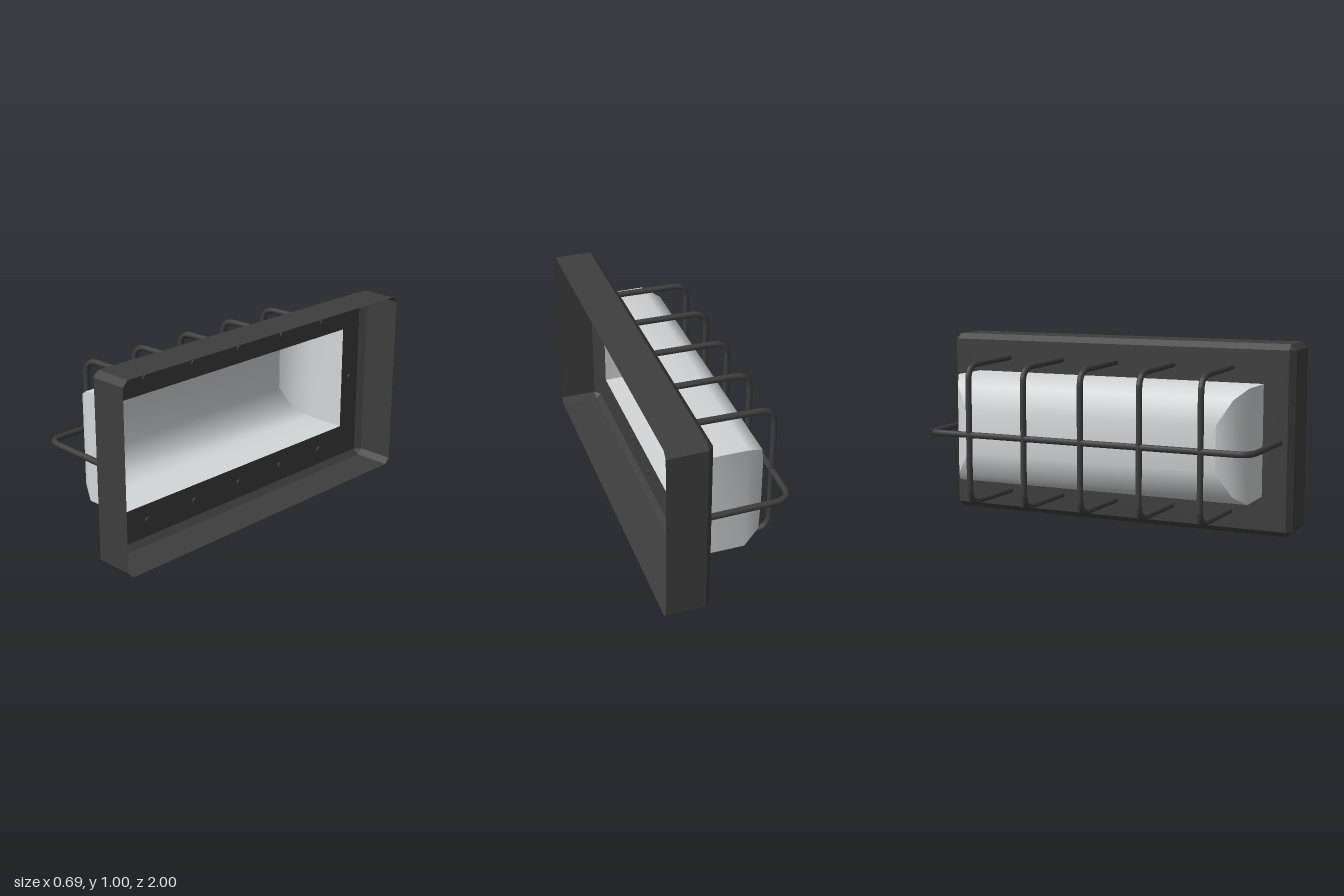
import * as THREE from 'three';

const black = new THREE.MeshStandardMaterial({ color: 0x3e3e3e, side: THREE.DoubleSide });
black.name = 'blackMetal';
const frosted = new THREE.MeshStandardMaterial({ color: 0xd2d7d7, side: THREE.DoubleSide });
frosted.name = 'frostedGlass';

// Skin a list of equally long point rows; smooth normals unless flat
function loft(rows, closed, flat) {
  const n = rows[0].length, index = [];
  for (let r = 0; r < rows.length - 1; r++) {
    for (let i = 0; i < (closed ? n : n - 1); i++) {
      const j = (i + 1) % n, a = r * n, b = a + n;
      index.push(a + i, a + j, b + j, a + i, b + j, b + i);
    }
  }
  let geo = new THREE.BufferGeometry();
  geo.setAttribute('position', new THREE.Float32BufferAttribute(rows.flat(2), 3));
  geo.setIndex(index);
  if (flat) geo = geo.toNonIndexed();
  geo.computeVertexNormals();
  return geo;
}

function add(group, name, geo, mat) {
  const mesh = new THREE.Mesh(geo, mat);
  mesh.name = name;
  group.add(mesh);
  return mesh;
}

// Eight points around a rectangle in the y-z plane, corners cut by c
function ring(x, hy, hz, c, cy = 0.5, cz = 0) {
  return [
    [hy, hz - c], [hy - c, hz], [-hy + c, hz], [-hy, hz - c],
    [-hy, -hz + c], [-hy + c, -hz], [hy - c, -hz], [hy, -hz + c],
  ].map(([y, z]) => [x, cy + y, cz + z]);
}

// Wire hoop standing off the frame: u runs across, x outwards
function hoop(half, toPoint) {
  const p = (x, u) => toPoint(x, u);
  const path = new THREE.CurvePath();
  const out = -0.332, bend = 0.09;
  const line = (a, b) => path.add(new THREE.LineCurve3(a, b));
  const corner = (s) => [p(out + bend, s * (half - 0.006)), p(out, s * (half - 0.006)), p(out, s * (half - 0.09))];
  const [a1, a2, a3] = corner(1), [b1, b2, b3] = corner(-1);
  // Sampled points keep the straight runs straight and the bends round
  const points = [p(0.118, half)];
  const arc = (q) => new THREE.QuadraticBezierCurve3(...q).getPoints(6);
  points.push(...arc([a1, a2, a3]), ...arc([b3, b2, b1]), p(0.118, -half));
  for (let i = 0; i < points.length - 1; i++) line(points[i], points[i + 1]);
  return new THREE.TubeGeometry(path, 160, 0.0165, 8, false);
}

export function createModel() {
  const model = new THREE.Group();
  model.name = 'bulkheadLamp';

  // Hollow bevelled housing, open at the wall side, with a window for the glass
  add(model, 'housing', loft([
    ring(0.345, 0.5, 1, 0.03),
    ring(0.14, 0.5, 1, 0.03),
    ring(0.11, 0.47, 0.97, 0),
    ring(0.11, 0.293, 0.835, 0, 0.502, 0.004),
  ], true, true), black);

  // Glass cover: one long curved skin and two faceted ends
  const glass = new THREE.Group();
  glass.name = 'glassCover';
  model.add(glass);
  const stations = [ // x, half height, half length
    [0.11, 0.293, 0.835], [-0.122, 0.293, 0.835], [-0.215, 0.243, 0.785], [-0.255, 0.118, 0.71],
  ];
  const cy = 0.502, cz = 0.004;
  const across = (s, [x, hy, hz]) => [[x, cy + s * hy, cz + hz], [x, cy + s * hy, cz - hz]];
  add(glass, 'glassSkin', loft([
    ...stations.map((st) => across(1, st)),
    ...stations.slice().reverse().map((st) => across(-1, st)),
  ], false, false), frosted);
  for (const s of [1, -1]) {
    add(glass, 'glassEnd', loft(stations.map(([x, hy, hz]) => [
      [x, cy - s * hy, cz + s * hz], [x, cy + s * hy, cz + s * hz],
    ]), false, false), frosted);
  }

  // Wire guard: five upright hoops crossed by one long hoop
  const guard = new THREE.Group();
  guard.name = 'wireGuard';
  model.add(guard);
  const tip = (y, z) => {
    const end = add(guard, 'wireEnd', new THREE.CircleGeometry(0.0165, 8), black);
    end.rotation.y = Math.PI / 2;
    end.position.set(0.118, y, z);
  };
  for (let i = -2; i <= 2; i++) {
    const z = 0.01 + i * 0.327;
    add(guard, 'uprightHoop', hoop(0.377, (x, u) => new THREE.Vector3(x, 0.498 + u, z)), black);
    tip(0.875, z);
    tip(0.121, z);
  }
  add(guard, 'longHoop', hoop(0.914, (x, u) => new THREE.Vector3(x, 0.498, 0.015 + u)), black);
  tip(0.498, 0.929);
  tip(0.498, -0.899);

  return model;
}
